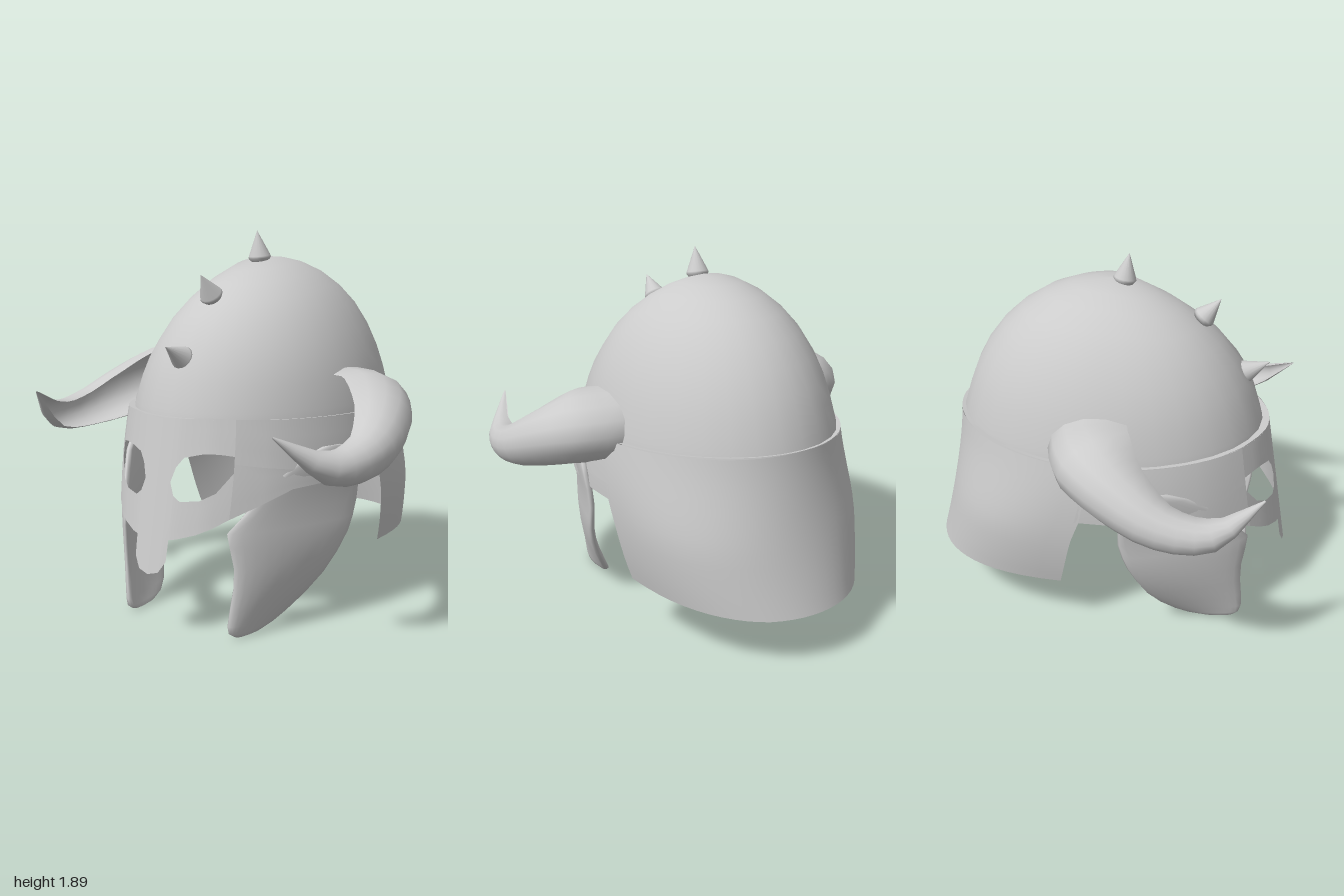
import * as THREE from 'three';

const material = new THREE.MeshStandardMaterial({ color: 0xcccccc, side: THREE.DoubleSide });
const { lerp, degToRad, smoothstep, clamp } = THREE.MathUtils;

// Skin a list of cross-sections (each a list of Vector3) into a smooth surface
function skin(rows, closed = false) {
  const n = rows[0].length, index = [];
  const positions = rows.flat().flatMap(p => [p.x, p.y, p.z]);
  for (let i = 0; i < rows.length - 1; i++) {
    for (let j = 0; j < (closed ? n : n - 1); j++) {
      const a = i * n + j, b = i * n + (j + 1) % n;
      index.push(a, b, b + n, a, b + n, a + n);
    }
  }
  const g = new THREE.BufferGeometry();
  g.setAttribute('position', new THREE.Float32BufferAttribute(positions, 3));
  g.setIndex(index);
  g.computeVertexNormals();
  return g;
}

function add(parent, name, geometry) {
  const mesh = new THREE.Mesh(geometry, material);
  mesh.name = name;
  parent.add(mesh);
  return mesh;
}

// Point on the helmet wall; the angle is 0 at the front and 180 at the back.
// Towards the hem the back flares out and becomes squarer.
function wall(deg, y) {
  const t = degToRad(deg), c = Math.cos(t), drop = Math.max(0, 1.06 - y);
  const width = 0.64 - 0.3 * (y - 0.75) ** 2;
  const z = c > 0
    ? c * (0.82 + 0.18 * (1.04 - y))
    : -(0.8 + 0.15 * (drop / 0.78) ** 1.5) * (-c) ** lerp(1, 0.68, smoothstep(drop, 0, 0.5));
  return new THREE.Vector3(width * Math.sin(t), y, z);
}

// Vertical strip from y0 to y1 at one angle
const column = (deg, y0, y1, n = 6) =>
  Array.from({ length: n + 1 }, (_, i) => wall(deg, lerp(y0, y1, i / n)));

// Half of the face mask: angle, top, eye top, eye bottom, lower edge
const maskColumns = [
  [0, 1.03, 0.75, 0.75, 0.32], [5.5, 1.035, 0.75, 0.75, 0.335], [6.8, 1.037, 0.75, 0.75, 0.355],
  [8.8, 1.04, 0.82, 0.69, 0.39], [8.81, 1.04, 0.82, 0.69, 0.49],
  [12, 1.04, 0.865, 0.665, 0.495], [20, 1.045, 0.885, 0.675, 0.52],
  [26, 1.045, 0.885, 0.71, 0.55], [32, 1.04, 0.875, 0.8, 0.59],
  [32.01, 1.04, 0.84, 0.84, 0.59], [43, 1.035, 0.82, 0.82, 0.65],
  [54, 1.03, 0.8, 0.8, 0.71], [65, 1.025, 0.8, 0.8, 0.72],
  [75, 1.02, 0.8, 0.8, 0.72], [84, 1.02, 0.8, 0.8, 0.72], [93, 1.02, 0.8, 0.8, 0.72],
];

function addMask(parent, side) {
  const half = new THREE.Group();
  half.name = side > 0 ? 'leftMask' : 'rightMask';
  add(half, 'brow', skin(maskColumns.map(([d, top, eye]) => column(d * side, top, eye, 3))));
  add(half, 'lowerMask', skin(maskColumns.map(([d, , , eye, low]) => column(d * side, eye, low, 4))));
  parent.add(half);
}

// Neck guard: its free side edges lean back towards the hem
function neckGuard() {
  const rows = [];
  for (let i = 0; i <= 12; i++) {
    const v = i / 12, row = [];
    for (let j = 0; j <= 32; j++) {
      const u = j / 16 - 1, back = 1 - Math.abs(u);
      const y = lerp(1.02 + 0.04 * back, 0.31 - 0.03 * Math.min(1, back * 1.5), v);
      const spread = 88 - 3 * clamp((0.72 - y) / 0.42, 0, 1);
      row.push(wall(180 + u * spread, y));
    }
    rows.push(row);
  }
  return skin(rows);
}

// Narrow ledge joining the top of the wall to the dome
function rim() {
  const outer = [], inner = [];
  for (let d = 0; d < 360; d += 6) {
    const c = Math.cos(degToRad(d)), y = 1.02 + (c > 0 ? 0.02 : -0.04) * c;
    outer.push(wall(d, y));
    inner.push(new THREE.Vector3(0.585 * Math.sin(degToRad(d)), y - 0.005, 0.775 * c));
  }
  return skin([outer, inner], true);
}

// Dome: a lathe squeezed to an oval, with a flatter slope at the front
function dome() {
  const profile = [[1, 0.98], [0.99, 1.06], [0.935, 1.2], [0.885, 1.3], [0.81, 1.41], [0.705, 1.52],
    [0.58, 1.61], [0.43, 1.685], [0.27, 1.735], [0.13, 1.757], [0, 1.762]];
  const g = new THREE.LatheGeometry(profile.map(p => new THREE.Vector2(...p)), 32);
  g.scale(0.595, 1, 0.79);
  const p = g.attributes.position;
  for (let i = 0; i < p.count; i++) {
    const y = p.getY(i), z = Math.max(0, p.getZ(i));
    p.setY(i, y - 0.06 * Math.sin(Math.PI * z / 0.79) * clamp((y - 1.05) / 0.35, 0, 1));
  }
  return g;
}

// Cheek plate outline: height, rear z, front z
const cheekOutline = [
  [0.003, 0.61, 0.66], [0.01, 0.54, 0.71], [0.03, 0.46, 0.74], [0.07, 0.4, 0.75], [0.15, 0.325, 0.745],
  [0.25, 0.26, 0.735], [0.35, 0.215, 0.735], [0.45, 0.17, 0.75], [0.52, 0.145, 0.757],
  [0.6, 0.125, 0.7], [0.7, 0.125, 0.63], [0.78, 0.14, 0.56], [0.85, 0.18, 0.46], [0.89, 0.25, 0.36],
];

function cheek(side) {
  const rows = cheekOutline.map(([y, back, front]) => {
    const half = (front - back) / 2, thick = Math.min(0.026, half * 0.6);
    return Array.from({ length: 24 }, (_, i) => {
      const a = i / 24 * Math.PI * 2, s = Math.sin(a);
      const z = (front + back) / 2 + half * Math.cos(a);
      const taper = 1 - 0.8 * Math.max(0, 1 - y / 0.5) ** 2;
      const x = 0.31 + 0.31 * taper * clamp((0.76 - z) / 0.63, 0, 1) ** 0.7
        + 0.03 * smoothstep(y, 0.6, 0.85) + thick * Math.sign(s) * Math.sqrt(Math.abs(s));
      return new THREE.Vector3(side * x, y, z);
    });
  });
  // Close both ends on their centres
  for (const end of [rows[0], rows[rows.length - 1]]) {
    const mid = end.reduce((m, p) => m.add(p), new THREE.Vector3()).divideScalar(end.length);
    const cap = end.map(() => mid.clone());
    if (end === rows[0]) rows.unshift(cap); else rows.push(cap);
  }
  return skin(rows, true);
}

// Horn: a hollow trough along a curve, open on its inner side, shrinking to a point
function horn(points) {
  const curve = new THREE.CatmullRomCurve3(points.map(p => new THREE.Vector3(...p)));
  const wide = [0.19, 0.175, 0.125, 0.08, 0.06, 0.004];
  const tall = [0.18, 0.18, 0.145, 0.105, 0.075, 0.004];
  const rows = [], steps = 15, up = new THREE.Vector3(0, 1, 0), side = Math.sign(points[0][0]);
  for (let i = 0; i <= steps; i++) {
    const t = i / steps, k = Math.min(4, Math.floor(t * 5)), f = t * 5 - k;
    const p = curve.getPoint(t), tangent = curve.getTangent(t);
    if (i === 0) tangent.set(side, 0, 0);
    const inward = new THREE.Vector3().crossVectors(tangent, up).normalize().multiplyScalar(side);
    const over = new THREE.Vector3().crossVectors(inward, tangent).multiplyScalar(side);
    rows.push(Array.from({ length: 11 }, (_, j) => {
      const a = degToRad(60 + 24 * j);
      return p.clone()
        .addScaledVector(inward, (Math.cos(a) + 0.25) / 0.75 * lerp(wide[k], wide[k + 1], f))
        .addScaledVector(over, Math.sin(a) * lerp(tall[k], tall[k + 1], f));
    }));
  }
  return skin(rows);
}

export function createModel() {
  const model = new THREE.Group();
  model.name = 'hornedHelmet';

  // Everything but the horns is symmetric about the helmet's own centre line
  const shell = new THREE.Group();
  shell.name = 'shell';
  shell.position.x = 0.033;
  model.add(shell);

  add(shell, 'dome', dome());
  add(shell, 'rim', rim());
  add(shell, 'neckGuard', neckGuard());
  for (const side of [1, -1]) {
    addMask(shell, side);
    add(shell, side > 0 ? 'leftCheekPlate' : 'rightCheekPlate', cheek(side));
  }

  // Spikes along the crest: base y, z and tip y, z
  [[1.752, 0.06, 1.89, 0.083], [1.575, 0.455, 1.68, 0.54], [1.295, 0.675, 1.36, 0.8]].forEach(([by, bz, ty, tz], i) => {
    const base = new THREE.Vector3(0, by, bz), dir = new THREE.Vector3(0, ty, tz).sub(base);
    const h = dir.length();
    const outline = [[0, -0.02], [0.045, -0.015], [0.058, 0.005], [0.055, 0.015], [0, h]];
    const spike = add(shell, 'spike' + (i + 1),
      new THREE.LatheGeometry(outline.map(p => new THREE.Vector2(...p)), 16));
    spike.position.copy(base);
    spike.quaternion.setFromUnitVectors(new THREE.Vector3(0, 1, 0), dir.normalize());
  });

  // The horns sit slightly askew
  add(model, 'leftHorn', horn([[0.59, 1.06, 0.045], [0.74, 1.05, 0.1], [0.86, 0.985, 0.25],
    [0.92, 0.9, 0.48], [0.875, 0.885, 0.71], [0.73, 1.04, 0.94]]));
  add(model, 'rightHorn', horn([[-0.53, 1.09, -0.035], [-0.68, 1.08, 0.02], [-0.82, 1.02, 0.155],
    [-0.92, 0.94, 0.37], [-0.92, 0.93, 0.6], [-0.82, 1.08, 0.82]]));

  return model;
}
